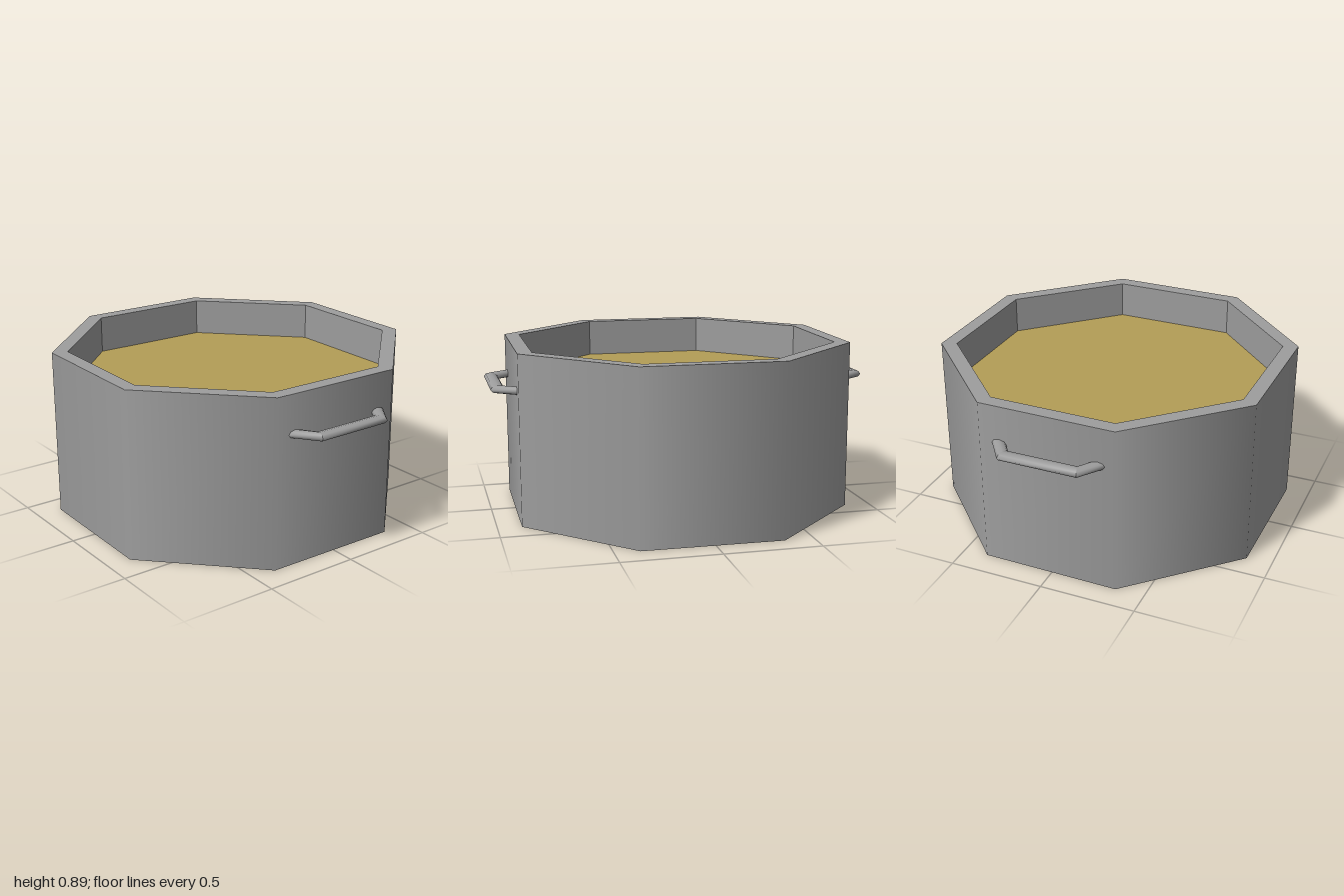
import * as THREE from 'three';
import { mergeGeometries } from 'three/addons/utils/BufferGeometryUtils.js';

const SIDES = 8, R = 0.943, INNER = 0.861, HEIGHT = 0.888, FILL = 0.69;
// The octagon is turned very slightly off square
const START = Math.PI / SIDES - 0.013;

// One straight bar with an oval section; each end is a mitre given by its [outer, inner] points in x, z
function bar(from, to, y, halfHeight, sides = 8) {
  const pos = [], index = [];
  for (const [outer, inner] of [from, to]) {
    for (let i = 0; i < sides; i++) {
      const a = (i / sides) * Math.PI * 2;
      const t = (1 - Math.cos(a)) / 2;
      pos.push(
        THREE.MathUtils.lerp(outer[0], inner[0], t),
        y + Math.sin(a) * halfHeight,
        THREE.MathUtils.lerp(outer[1], inner[1], t)
      );
    }
  }
  for (let i = 0; i < sides; i++) {
    const j = (i + 1) % sides;
    index.push(i, j, i + sides, j, j + sides, i + sides);
  }
  const geo = new THREE.BufferGeometry();
  geo.setAttribute('position', new THREE.Float32BufferAttribute(pos, 3));
  geo.setIndex(index);
  geo.computeVertexNormals();
  return geo;
}

export function createModel() {
  const model = new THREE.Group();
  model.name = 'pot';
  const metal = new THREE.MeshStandardMaterial({ color: 0x9d9d9d });
  const metalDouble = new THREE.MeshStandardMaterial({ color: 0x9d9d9d, side: THREE.DoubleSide });
  const metalFlat = new THREE.MeshStandardMaterial({ color: 0x9d9d9d, side: THREE.DoubleSide, flatShading: true });
  const contents = new THREE.MeshStandardMaterial({ color: 0xb39d56 });

  const add = (name, geo, mat, y = 0) => {
    const mesh = new THREE.Mesh(geo, mat);
    mesh.name = name;
    mesh.position.y = y;
    model.add(mesh);
    return mesh;
  };

  // Body: smooth outside wall, faceted inside wall, flat rim and base
  add('outerWall', new THREE.CylinderGeometry(R, R, HEIGHT, SIDES, 1, true, START), metal, HEIGHT / 2);
  add('innerWall', new THREE.CylinderGeometry(INNER, INNER, HEIGHT - FILL, SIDES, 1, true, START), metalFlat, (HEIGHT + FILL) / 2);
  add('rim', new THREE.RingGeometry(INNER, R, SIDES, 1, START).rotateX(-Math.PI / 2), metal, HEIGHT);
  add('base', new THREE.CircleGeometry(R, SIDES, -START).rotateX(Math.PI / 2), metal);

  // Contents
  add('contents', new THREE.CircleGeometry(INNER, SIDES, START).rotateX(-Math.PI / 2), contents, FILL);

  // Handles: three mitred bars on each side
  const stations = [
    [[0.83, -0.33], [0.83, -0.25]],
    [[1, -0.207], [0.928, -0.182]],
    [[1, 0.207], [0.928, 0.182]],
    [[0.83, 0.33], [0.83, 0.25]],
  ];
  const bars = [0, 1, 2].map((i) => bar(stations[i], stations[i + 1], 0.687, 0.021));
  const handle = mergeGeometries(bars);
  add('leftHandle', handle, metalDouble);
  add('rightHandle', handle, metalDouble).rotation.y = Math.PI;

  return model;
}
